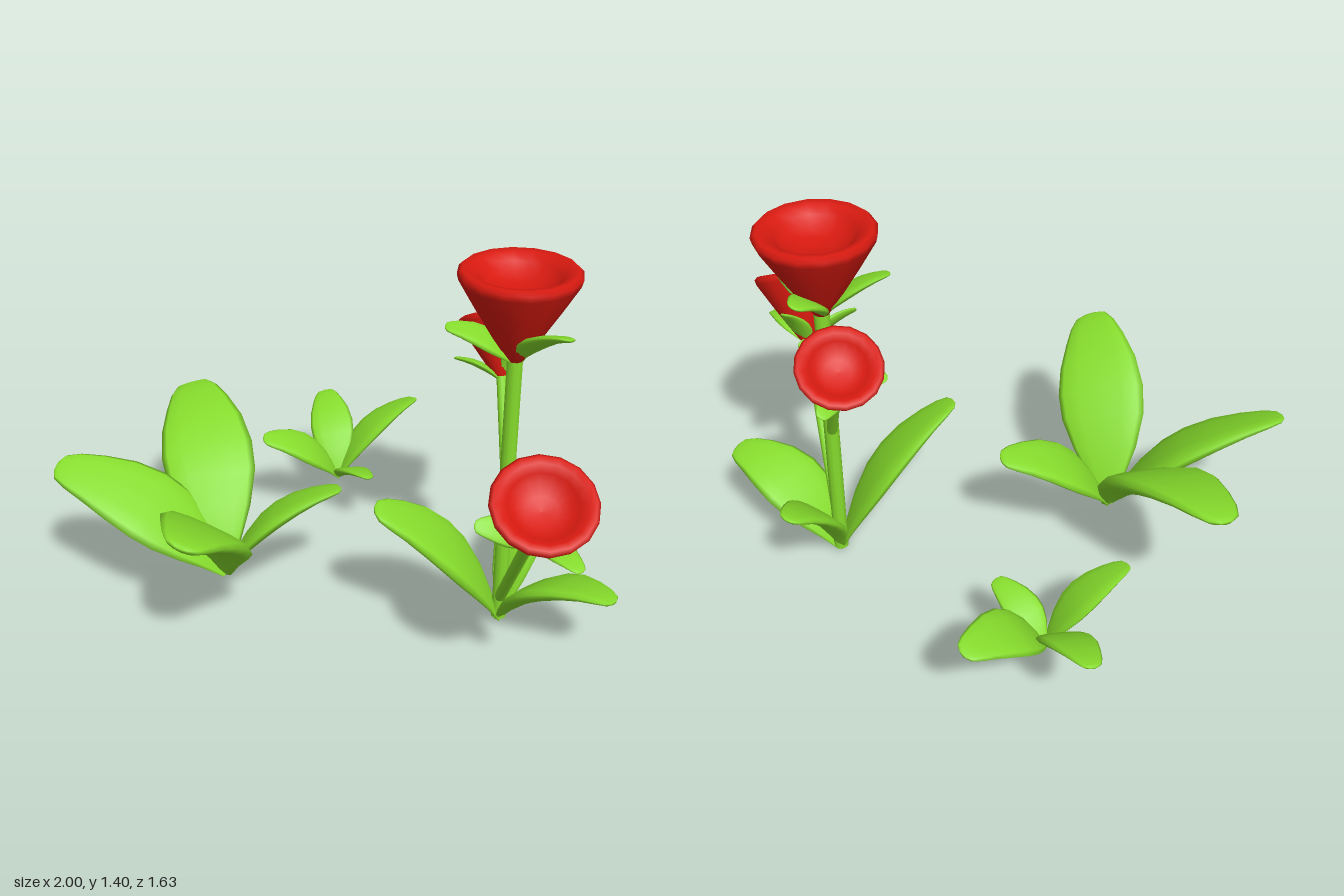
import * as THREE from 'three';

const green = new THREE.MeshStandardMaterial({ color: 0x86dc2c });
const red = new THREE.MeshStandardMaterial({ color: 0xd81a10 });
const V = (a) => new THREE.Vector3(...a);
const UP = new THREE.Vector3(0, 1, 0);

// [position along the leaf, share of the full width]
const OUTLINE = [[0, 0.13], [0.12, 0.42], [0.25, 0.73], [0.4, 0.96], [0.53, 1], [0.68, 0.9],
  [0.82, 0.7], [0.92, 0.53], [0.98, 0.36], [1, 0.14]];
const SIDES = 12;

// Thick, slightly cupped leaf swept from base to tip; arch lifts the middle, roll twists it
function leaf(name, base, tip, width, arch, roll) {
  const a = V(base), c = V(tip);
  const b = new THREE.Vector3().lerpVectors(a, c, 0.36);
  b.y = a.y + (c.y - a.y) * arch;
  const curve = new THREE.QuadraticBezierCurve3(a, b, c);
  const pos = [], idx = [];
  for (const [t, share] of OUTLINE) {
    const p = curve.getPoint(t), T = curve.getTangent(t);
    const S = new THREE.Vector3().crossVectors(UP, T).normalize().applyAxisAngle(T, roll);
    const N = new THREE.Vector3().crossVectors(T, S);
    const w = share * width / 2;
    for (let j = 0; j < SIDES; j++) {
      const ang = j / SIDES * Math.PI * 2, u = Math.cos(ang);
      const v = 0.26 * Math.sin(ang) + 0.1 * u * u;
      pos.push(...p.clone().addScaledVector(S, u * w).addScaledVector(N, v * w).toArray());
    }
  }
  const last = OUTLINE.length - 1;
  for (let i = 0; i < last; i++) {
    for (let j = 0; j < SIDES; j++) {
      const k = (j + 1) % SIDES, q = i * SIDES, r = q + SIDES;
      idx.push(q + j, q + k, r + k, q + j, r + k, r + j);
    }
  }
  // End caps
  const n = pos.length / 3;
  pos.push(...a.toArray(), ...c.toArray());
  for (let j = 0; j < SIDES; j++) {
    const k = (j + 1) % SIDES, r = last * SIDES;
    idx.push(n, k, j, n + 1, r + j, r + k);
  }
  const g = new THREE.BufferGeometry();
  g.setAttribute('position', new THREE.Float32BufferAttribute(pos, 3));
  g.setIndex(idx);
  g.computeVertexNormals();
  const m = new THREE.Mesh(g, green);
  m.name = name;
  return m;
}

function stem(name, from, to, radius) {
  const a = V(from), d = V(to).sub(a);
  const m = new THREE.Mesh(new THREE.CylinderGeometry(radius, radius, d.length(), 10), green);
  m.position.copy(a).addScaledVector(d, 0.5);
  m.quaternion.setFromUnitVectors(UP, d.clone().normalize());
  m.name = name;
  return m;
}

// Funnel-shaped bloom with a rounded lip, a hollow top and three sepals
function flower(name, base, direction, scale) {
  const f = new THREE.Group();
  f.name = name;
  const profile = [[0, 0.005], [0.022, 0.01], [0.08, 0.1], [0.143, 0.205], [0.2, 0.305], [0.206, 0.328],
    [0.192, 0.342], [0.165, 0.338], [0.135, 0.316], [0.11, 0.288], [0.06, 0.27], [0, 0.265]];
  const bloom = new THREE.Mesh(
    new THREE.LatheGeometry(profile.map((p) => new THREE.Vector2(...p)), 16), red);
  bloom.name = 'bloom';
  f.add(bloom);
  const sepals = [[0.245, 0.18, 0.05], [-0.17, 0.14, 0.165], [-0.05, 0.155, -0.195]];
  for (const tip of sepals) f.add(leaf('sepal', [0, 0, 0], tip, 0.13, 0.82, -0.25));
  f.position.set(...base);
  f.quaternion.setFromUnitVectors(UP, V(direction).normalize());
  f.scale.setScalar(scale);
  return f;
}

function cluster(name, base, leaves) {
  const g = new THREE.Group();
  g.name = name;
  for (const [tip, width, arch, roll] of leaves) g.add(leaf('leaf', base, tip, width, arch, roll));
  return g;
}

export function createModel() {
  const model = new THREE.Group();
  model.name = 'flowerPatch';

  // Flowering plant
  const plant = cluster('floweringPlant', [0.42, 0.015, -0.28], [
    [[0.155, 0.565, 0.12], 0.28, 0.72, -0.3],
    [[0.89, 0.315, -0.29], 0.26, 1.03, -0.18],
    [[0.36, 0.45, -0.63], 0.2, 0.8, -0.2],
  ]);
  plant.add(
    stem('mainStem', [0.42, 0.03, -0.28], [0.42, 1.1, -0.28], 0.028),
    stem('backStem', [0.42, 0.58, -0.28], [0.27, 0.925, -0.42], 0.02),
    stem('frontStem', [0.42, 0.11, -0.28], [0.745, 0.68, 0.022], 0.021),
    flower('mainFlower', [0.42, 1.07, -0.28], [0, 1, 0], 1),
    flower('backFlower', [0.275, 0.9, -0.42], [-0.1, 0.2, -0.09], 0.7),
    flower('frontFlower', [0.742, 0.66, 0.02], [0.1, 0.22, 0.1], 0.83),
  );
  model.add(plant);

  // Large front leaf cluster
  model.add(cluster('largeLeafCluster', [-0.4, 0.15, 0.34], [
    [[-0.98, 0.615, -0.03], 0.35, 0.95, -0.18],
    [[-0.92, 0.555, 0.68], 0.32, 0.76, -0.35],
    [[-0.06, 0.645, 0.8], 0.33, 0.82, -0.36],
    [[-0.12, 0.485, 0], 0.23, 0.85, -0.22],
  ]));

  // Small back leaf cluster
  model.add(cluster('smallLeafCluster', [-0.55, 0.17, -0.43], [
    [[-0.46, 0.43, -0.81], 0.2, 0.9, -0.3],
    [[-0.82, 0.41, -0.63], 0.18, 0.88, -0.2],
    [[-0.71, 0.4, -0.16], 0.18, 0.84, -0.3],
    [[-0.31, 0.29, -0.36], 0.13, 0.9, -0.22],
  ]));

  return model;
}
